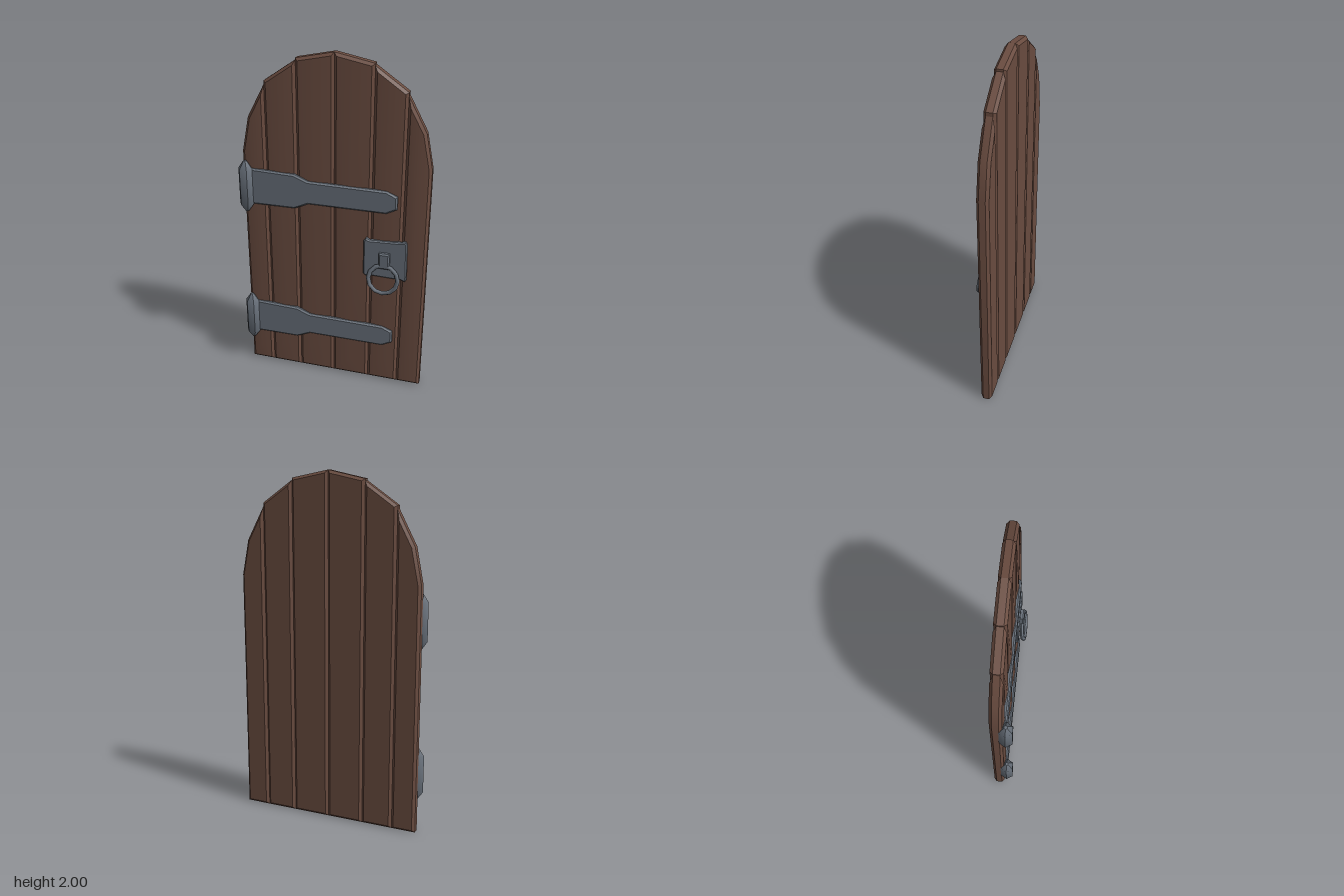
import * as THREE from 'three';
import { ConvexGeometry } from 'three/addons/geometries/ConvexGeometry.js';
import { toCreasedNormals } from 'three/addons/utils/BufferGeometryUtils.js';

const wood = new THREE.MeshStandardMaterial({ color: 0x6a4c40 });
const iron = new THREE.MeshStandardMaterial({ color: 0x666e78 });

function addMesh(parent, name, geometry, material, crease = 0.6) {
  const mesh = new THREE.Mesh(toCreasedNormals(geometry, crease), material);
  mesh.name = name;
  parent.add(mesh);
  return mesh;
}

// Moves every edge of a counter-clockwise convex outline inwards by d
function inset(outline, d) {
  const n = outline.length;
  return outline.map(([x, y], i) => {
    const [px, py] = outline[(i + n - 1) % n];
    const [qx, qy] = outline[(i + 1) % n];
    const a = new THREE.Vector2(py - y, x - px).normalize();
    const b = new THREE.Vector2(y - qy, qx - x).normalize();
    const k = d / (1 + a.dot(b));
    return [x + (a.x + b.x) * k, y + (a.y + b.y) * k];
  });
}

// Convex chamfered slab between two depths; extra points swell its face
function slab(outline, back, front, chamfer, extra = []) {
  const small = inset(outline, chamfer);
  const layer = (points, z) => points.map(([x, y]) => new THREE.Vector3(x, y, z));
  return new ConvexGeometry([
    ...layer(small, back), ...layer(outline, back + chamfer),
    ...layer(outline, front - chamfer), ...layer(small, front), ...extra,
  ]);
}

// Chamfered plate from an outline that need not be convex
function plate(outline, depth, bevel) {
  const shape = new THREE.Shape(outline.map(([x, y]) => new THREE.Vector2(x, y)));
  return new THREE.ExtrudeGeometry(shape, {
    depth: depth - bevel, bevelEnabled: true, bevelThickness: bevel,
    bevelSize: bevel, bevelOffset: -bevel, bevelSegments: 1,
  });
}

export function createModel() {
  const door = new THREE.Group();
  door.name = 'archedDoor';

  // Planks: left and right edge, then the top outline from right to left
  const planks = [
    [-0.53, -0.39, [[-0.39, 1.80], [-0.49, 1.61], [-0.53, 1.41]]],
    [-0.39, -0.208, [[-0.208, 1.945], [-0.39, 1.82]]],
    [-0.208, 0.005, [[0.005, 2.0], [-0.208, 1.955]]],
    [0.005, 0.222, [[0.222, 1.957], [0.005, 2.0]]],
    [0.222, 0.402, [[0.402, 1.82], [0.222, 1.945]]],
    [0.402, 0.545, [[0.545, 1.41], [0.505, 1.61], [0.402, 1.80]]],
  ];
  planks.forEach(([x0, x1, top], i) => {
    const middle = (x0 + x1) / 2;
    const swell = [
      new THREE.Vector3(middle, 0.12 + 0.06 * (i % 3), 0.009),
      new THREE.Vector3(middle, 1.2, 0.009),
    ];
    const outline = [[x0, 0], [x1, 0], ...top];
    addMesh(door, `plank${i + 1}`, slab(outline, -0.065, 0, 0.015, swell), wood);
  });

  // Strap hinges with a six-sided knuckle
  const strap = [
    [-0.48, -0.108], [-0.22, -0.106], [-0.14, -0.069], [0.31, -0.069], [0.37, -0.038],
    [0.37, 0.038], [0.31, 0.065], [-0.14, 0.07], [-0.22, 0.102], [-0.48, 0.11],
  ];
  const knuckle = [
    [0, -0.155], [0.01, -0.155], [0.042, -0.108], [0.042, 0.108], [0.01, 0.155], [0, 0.155],
  ].map(([r, y]) => new THREE.Vector2(r, y));
  [['lower', 0.33], ['upper', 1.205]].forEach(([level, y]) => {
    const hinge = new THREE.Group();
    hinge.name = `${level}Hinge`;
    hinge.position.y = y;
    addMesh(hinge, 'strap', plate(strap, 0.02, 0.009), iron);
    const barrel = addMesh(hinge, 'knuckle', new THREE.LatheGeometry(knuckle, 6, Math.PI / 2), iron);
    barrel.position.set(-0.509, 0, 0.018);
    door.add(hinge);
  });

  // Handle: back plate, bracket and hanging ring
  const handle = new THREE.Group();
  handle.name = 'handle';
  const backPlate = [
    [0.187, 0.745], [0.2, 0.73], [0.23, 0.736], [0.41, 0.732], [0.432, 0.724], [0.44, 0.737],
    [0.436, 0.96], [0.428, 0.976], [0.4, 0.97], [0.22, 0.962], [0.2, 0.972], [0.187, 0.955],
  ];
  addMesh(handle, 'backPlate', plate(backPlate, 0.022, 0.007), iron);

  const bracketOutline = [[0.281, 0.8], [0.343, 0.8], [0.343, 0.898], [0.281, 0.898]];
  addMesh(handle, 'bracket', slab(bracketOutline, 0.01, 0.045, 0.008), iron);

  const ring = addMesh(handle, 'ring', new THREE.TorusGeometry(0.086, 0.013, 6, 12), iron, 1.1);
  ring.position.set(0.31, 0.735, 0.043);
  ring.rotation.x = -0.12;
  door.add(handle);

  return door;
}
